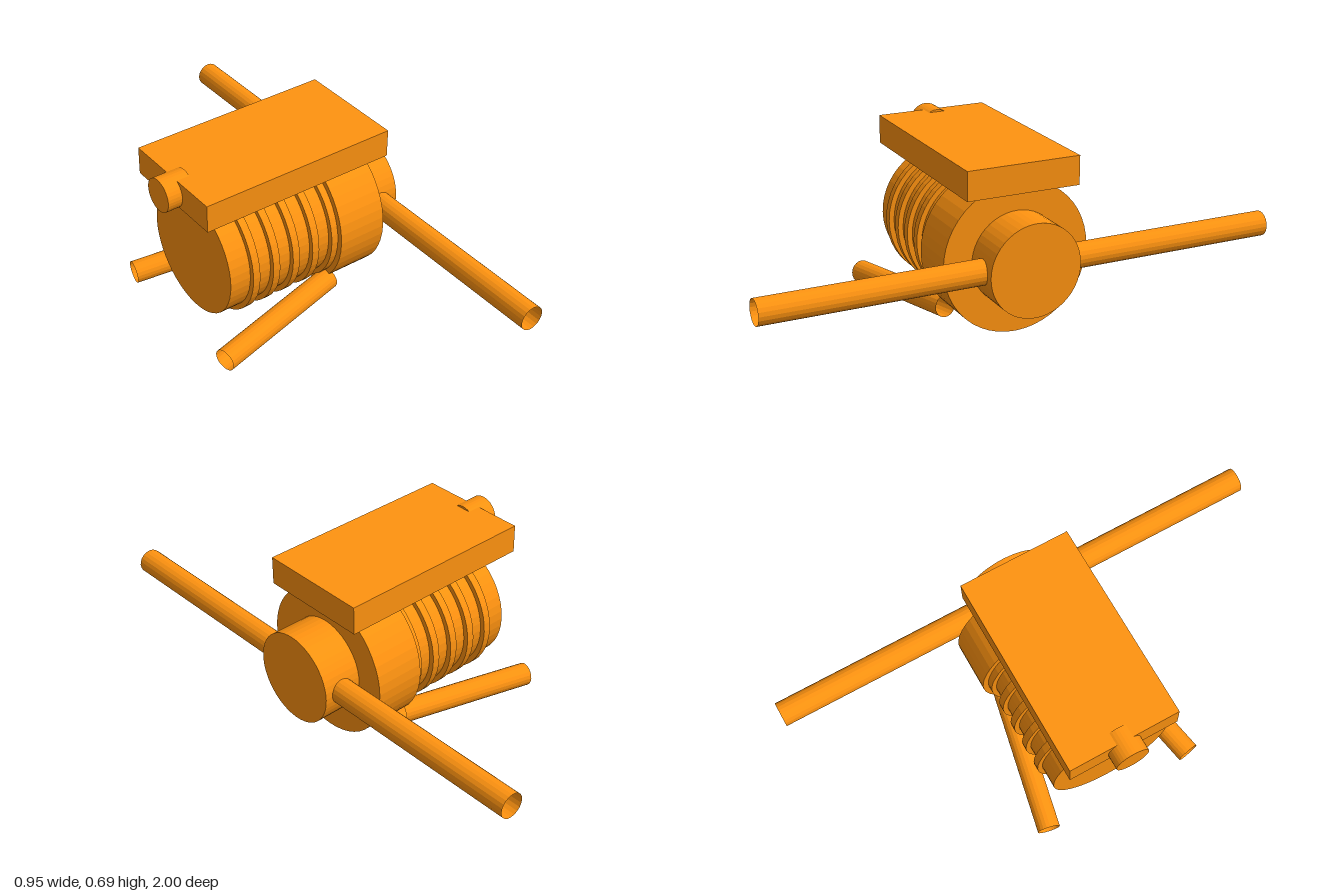
import * as THREE from 'three';

const AXIS_Y = 0.3125;
const orange = new THREE.MeshStandardMaterial({ color: 0xff9310, flatShading: true });
const orangeThin = new THREE.MeshStandardMaterial({ color: 0xff9310, flatShading: true, side: THREE.DoubleSide });

export function createModel() {
  const group = new THREE.Group();

  const add = (name, geometry, material = orange) => {
    const mesh = new THREE.Mesh(geometry, material);
    mesh.name = name;
    group.add(mesh);
    return mesh;
  };

  // Solid cylinder lying along x, from x0 to x1
  const drum = (name, x0, x1, radius, y = AXIS_Y, sides = 48) => {
    const mesh = add(name, new THREE.CylinderGeometry(radius, radius, x1 - x0, sides));
    mesh.rotation.z = -Math.PI / 2;
    mesh.position.set((x0 + x1) / 2, y, 0);
  };

  // Hollow, open-ended rod between two points
  const rod = (name, from, to, radius) => {
    const a = new THREE.Vector3(...from);
    const b = new THREE.Vector3(...to);
    const mesh = add(name, new THREE.CylinderGeometry(radius, radius, a.distanceTo(b), 20, 1, true), orangeThin);
    mesh.position.copy(a).add(b).multiplyScalar(0.5);
    mesh.quaternion.setFromUnitVectors(new THREE.Vector3(0, 1, 0), b.sub(a).normalize());
  };

  // Body along the x axis
  drum('barrel', -0.345, 0.13, 0.245);
  drum('collar', 0.122, 0.32, 0.287);
  drum('hub', 0.31, 0.475, 0.177);

  // Cooling rings around the barrel
  for (let i = 0; i < 5; i++) {
    const x = -0.26 + i * 0.0885;
    drum('coolingRing', x, x + 0.03, 0.265);
  }

  // Flat case on top with a round plug at its end
  add('topCase', new THREE.BoxGeometry(0.797, 0.11, 0.44)).position.set(-0.0215, 0.625, 0);
  drum('plug', -0.478, -0.368, 0.066, 0.623, 32);

  // Propeller blades and the two splayed exhaust pipes
  for (const s of [1, -1]) {
    rod('blade', [0.398, AXIS_Y, 0.1 * s], [0.398, AXIS_Y, s], 0.048);
    rod('exhaustPipe', [0.137, 0.09, 0.197 * s], [-0.422, 0.047, 0.311 * s], 0.044);
  }

  return group;
}
